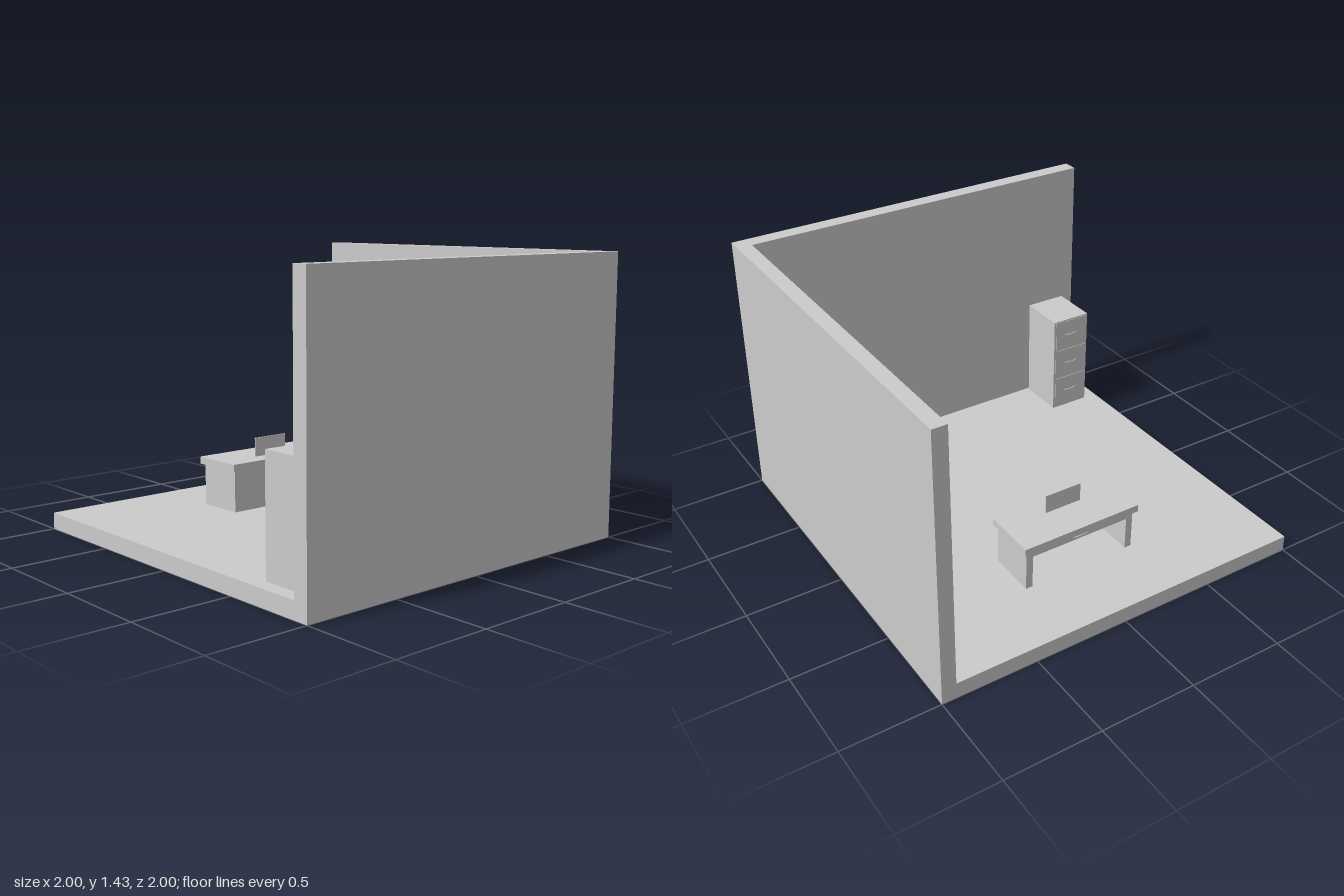
import * as THREE from 'three';

const material = new THREE.MeshStandardMaterial({ color: 0xcccccc });

// Box given by its minimum and maximum corners
function box(parent, name, [x0, y0, z0], [x1, y1, z1]) {
  const mesh = new THREE.Mesh(new THREE.BoxGeometry(x1 - x0, y1 - y0, z1 - z0), material);
  mesh.position.set((x0 + x1) / 2, (y0 + y1) / 2, (z0 + z1) / 2);
  mesh.name = name;
  parent.add(mesh);
}

// Shallow bowed pull on a face that looks towards -x
function pull(parent, name, x, y, z, length) {
  const curve = new THREE.QuadraticBezierCurve3(
    new THREE.Vector3(0, 0, -length / 2),
    new THREE.Vector3(-0.012, 0, 0),
    new THREE.Vector3(0, 0, length / 2));
  const mesh = new THREE.Mesh(new THREE.TubeGeometry(curve, 10, 0.003, 6), material);
  mesh.position.set(x, y, z);
  mesh.name = name;
  parent.add(mesh);
}

function group(parent, name) {
  const g = new THREE.Group();
  g.name = name;
  parent.add(g);
  return g;
}

export function createModel() {
  const model = new THREE.Group();
  model.name = 'officeRoom';
  const floorY = 0.085;

  // Room shell: floor and two walls
  const room = group(model, 'room');
  box(room, 'floor', [-1, 0, -1], [1, floorY, 1]);
  box(room, 'backWall', [-1, floorY, -1], [1, 1.43, -0.925]);
  box(room, 'sideWall', [0.92, floorY, -0.925], [1, 1.43, 1]);

  // Desk: top, two end panels, a closed back and a drawer under the top
  const desk = group(model, 'desk');
  box(desk, 'deskTop', [-0.655, 0.302, -0.343], [-0.365, 0.34, 0.317]);
  box(desk, 'endPanel', [-0.635, floorY, -0.325], [-0.38, 0.302, -0.288]);
  box(desk, 'endPanel', [-0.635, floorY, 0.262], [-0.38, 0.302, 0.299]);
  box(desk, 'backPanel', [-0.395, floorY, -0.288], [-0.38, 0.302, 0.262]);
  box(desk, 'deskDrawer', [-0.633, 0.262, -0.288], [-0.395, 0.302, 0.262]);
  pull(desk, 'deskDrawerPull', -0.633, 0.281, -0.013, 0.09);

  // Thin screen standing on the desk
  box(model, 'screen', [-0.466, 0.34, -0.103], [-0.46, 0.44, 0.1]);

  // Filing cabinet with three drawers
  const cabinet = group(model, 'filingCabinet');
  box(cabinet, 'cabinetBody', [0.648, floorY, 0.7], [0.91, 0.652, 0.925]);
  for (let i = 0; i < 3; i++) {
    const y = 0.19 + i * 0.184;
    box(cabinet, 'cabinetDrawer', [0.645, y - 0.087, 0.712], [0.65, y + 0.087, 0.913]);
    pull(cabinet, 'cabinetPull', 0.645, y, 0.812, 0.08);
  }

  return model;
}
